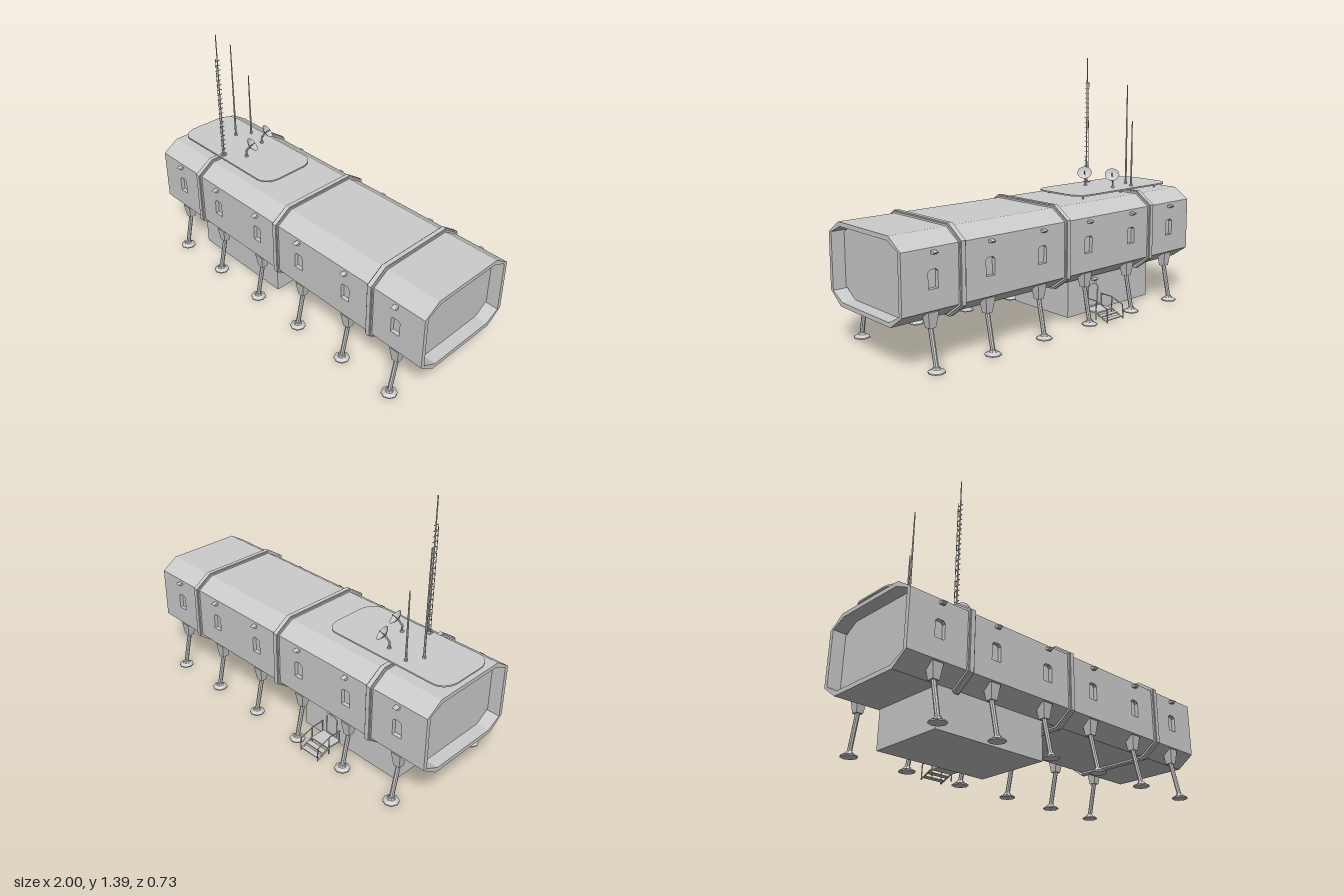
import * as THREE from 'three';

const MAT = new THREE.MeshStandardMaterial({ color: 0xcccccc, flatShading: true });
const THIN = new THREE.MeshStandardMaterial({ color: 0xcccccc, side: THREE.DoubleSide });
const CZ = 0.01; // centre line of the hull
const BAYS = [-0.83, -0.5, -0.165, 0.165, 0.5, 0.83];
const V = (x, y, z) => new THREE.Vector3(x, y, z);

function add(parent, name, geo, x = 0, y = 0, z = 0, mat = MAT) {
  const m = new THREE.Mesh(geo, mat);
  m.name = name;
  m.position.set(x, y, z);
  parent.add(m);
  return m;
}

function group(parent, name, z = 0) {
  const g = new THREE.Group();
  g.name = name;
  g.position.z = z;
  parent.add(g);
  return g;
}

// Straight bar from a to b; four-sided bars get their flats squared to the axes
function rod(parent, name, a, b, ra, rb = ra, sides = 6) {
  const dir = b.clone().sub(a);
  const geo = new THREE.CylinderGeometry(rb, ra, dir.length(), sides);
  if (sides === 4) geo.rotateY(Math.PI / 4);
  const m = add(parent, name, geo);
  m.position.copy(a).add(b).multiplyScalar(0.5);
  m.quaternion.setFromUnitVectors(V(0, 1, 0), dir.normalize());
  return m;
}

function box(parent, name, x0, x1, y0, y1, z0, z1) {
  return add(parent, name, new THREE.BoxGeometry(x1 - x0, y1 - y0, z1 - z0),
    (x0 + x1) / 2, (y0 + y1) / 2, (z0 + z1) / 2);
}

const poly = (pts) => pts.map(([x, y]) => new THREE.Vector2(x, y));

// Eight-sided hull section, grown outwards by d
function octagon(d) {
  const w = 0.305 + d, f = 0.213 + d * 0.6, b = 0.285 - d * 0.5, t = 0.575 + d * 0.5;
  return [[-w, b], [-f, 0.22 - d], [f, 0.22 - d], [w, b], [w, t], [f, 0.635 + d], [-f, 0.635 + d], [-w, t]];
}

// Extrude a (z, y) section along x, centred on x = 0
function alongX(shape, length) {
  const geo = new THREE.ExtrudeGeometry(shape, { depth: length, bevelEnabled: false });
  return geo.translate(0, 0, -length / 2).rotateY(Math.PI / 2);
}

// Opening with clipped top corners
function arch(x, y0, y1, hw, c) {
  return poly([[x - hw, y0], [x + hw, y0], [x + hw, y1 - c], [x + hw - c, y1], [x - hw + c, y1], [x - hw, y1 - c]]);
}

function lampHood(parent, x, y, z) {
  const s = new THREE.Shape(poly([[0.005, 0.008], [-0.03, 0.002], [-0.014, -0.009], [0.005, -0.007]]));
  add(parent, 'lampHood', alongX(s, 0.025), x, y, z);
}

function buildHull(root) {
  const hull = group(root, 'hull', CZ);
  const o = octagon(0), i = octagon(-0.022);
  // roof and belly shells, open at the sides for the window walls
  const roof = [o[4], o[5], o[6], o[7], [-0.283, 0.575], i[6], i[5], [0.283, 0.575]];
  const belly = [o[0], o[1], o[2], o[3], [0.283, 0.285], i[2], i[1], [-0.283, 0.285]];
  add(hull, 'roofShell', alongX(new THREE.Shape(poly(roof)), 2));
  add(hull, 'bellyShell', alongX(new THREE.Shape(poly(belly)), 2));
  // inner body forms the end bulkheads and window panes
  add(hull, 'bulkheads', alongX(new THREE.Shape(poly(octagon(-0.021))), 1.86));
  // stepped bands over the section joints
  for (const x of [-0.657, -0.005, 0.67]) {
    for (const [d, w] of [[0.009, 0.036], [0.015, 0.024]]) {
      const s = new THREE.Shape(poly(octagon(d)));
      s.holes.push(new THREE.Path(poly(octagon(-0.004))));
      add(hull, 'jointBand', alongX(s, w), x);
    }
  }
  // the two long sides, one turned about the vertical axis
  for (const turn of [0, Math.PI]) {
    const side = group(hull, turn ? 'backSide' : 'frontSide');
    side.rotation.y = turn;
    const wall = new THREE.Shape(poly([[-1, 0.285], [1, 0.285], [1, 0.575], [-1, 0.575]]));
    for (const x of BAYS) {
      wall.holes.push(new THREE.Path(arch(x, 0.385, 0.475, 0.027, 0.011)));
      lampHood(side, x, 0.554, 0.305);
      buildLeg(side, x);
    }
    add(side, 'windowWall', new THREE.ExtrudeGeometry(wall, { depth: 0.022, bevelEnabled: false }), 0, 0, 0.283);
  }
}

function buildLeg(parent, x) {
  const leg = group(parent, 'leg');
  rod(leg, 'legSocket', V(x, 0.2, 0.277), V(x, 0.277, 0.275), 0.025, 0.041, 4);
  rod(leg, 'legStrut', V(x, 0.015, 0.318), V(x, 0.21, 0.275), 0.012, 0.012, 8);
  add(leg, 'footCollar', new THREE.CylinderGeometry(0.016, 0.022, 0.012, 8), x, 0.02, 0.318);
  add(leg, 'footPad', new THREE.CylinderGeometry(0.024, 0.04, 0.01, 8), x, 0.011, 0.318);
  add(leg, 'footSole', new THREE.CylinderGeometry(0.042, 0.042, 0.006, 8), x, 0.003, 0.318);
}

function buildDish(parent, x, z) {
  const dish = group(parent, 'dishAntenna');
  const n = V(0.57, 0.65, -0.5).normalize();
  const centre = V(x + 0.02, 0.73, z - 0.012);
  add(dish, 'dishBase', new THREE.CylinderGeometry(0.008, 0.011, 0.01, 8), x, 0.667, z);
  rod(dish, 'dishPost', V(x, 0.66, z), V(x, 0.7, z), 0.005);
  rod(dish, 'dishArm', V(x, 0.698, z), centre, 0.006);
  const bowl = group(dish, 'bowl');
  bowl.position.copy(centre);
  bowl.quaternion.setFromUnitVectors(V(0, 1, 0), n);
  const profile = [0, 0.01, 0.02, 0.03, 0.041].map((r) => new THREE.Vector2(r, r * r * 11));
  add(bowl, 'reflector', new THREE.LatheGeometry(profile, 20), 0, 0, 0, THIN);
  rod(bowl, 'feed', V(0, 0, 0), V(0, 0.034, 0), 0.0025);
  add(bowl, 'feedHead', new THREE.SphereGeometry(0.004, 8, 6), 0, 0.034, 0);
}

function buildRoof(root) {
  const roof = group(root, 'roofEquipment');
  // deck plate with long rounded corners
  const w = 0.3825, h = 0.176, rx = 0.075, rz = 0.095, k = 0.45;
  const s = new THREE.Shape();
  s.moveTo(w, -h + rz).lineTo(w, h - rz);
  s.bezierCurveTo(w, h - rz * k, w - rx * k, h, w - rx, h).lineTo(-w + rx, h);
  s.bezierCurveTo(-w + rx * k, h, -w, h - rz * k, -w, h - rz).lineTo(-w, -h + rz);
  s.bezierCurveTo(-w, -h + rz * k, -w + rx * k, -h, -w + rx, -h).lineTo(w - rx, -h);
  s.bezierCurveTo(w - rx * k, -h, w, -h + rz * k, w, -h + rz);
  const plate = new THREE.ExtrudeGeometry(s, { depth: 0.008, bevelEnabled: false, curveSegments: 8 }).rotateX(-Math.PI / 2);
  add(roof, 'deckPlate', plate, -0.6075, 0.654, 0.011);
  for (const x of [-0.905, -0.6075, -0.3])
    for (const z of [-0.12, 0.14]) rod(roof, 'deckPost', V(x, 0.63, z), V(x, 0.656, z), 0.006);

  // tapered whip aerials
  for (const [x, z, top] of [[-0.755, -0.03, 1.235], [-0.71, -0.11, 1.035]]) {
    rod(roof, 'whipAerial', V(x, 0.66, z), V(x, top, z), 0.006, 0.003);
    rod(roof, 'aerialBase', V(x, 0.66, z), V(x, 0.675, z), 0.009, 0.007, 8);
  }
  // mast with cross rungs and a side rail
  const mast = group(roof, 'ladderMast');
  const mx = -0.621, mz = 0.163;
  rod(mast, 'mastPole', V(mx, 0.66, mz), V(mx, 1.39, mz), 0.004, 0.003);
  rod(mast, 'sideRail', V(mx - 0.015, 0.66, mz), V(mx - 0.015, 1.25, mz), 0.0018);
  box(mast, 'mastFoot', mx - 0.02, mx + 0.009, 0.66, 0.667, mz - 0.014, mz + 0.014);
  for (let i = 0; i < 21; i++) {
    const y = 0.672 + i * 0.0285;
    box(mast, 'rung', mx - 0.002, mx + 0.002, y, y + 0.003, mz - 0.015, mz + 0.015);
    if (i % 4 === 3) box(mast, 'railTie', mx - 0.016, mx, y, y + 0.003, mz - 0.001, mz + 0.001);
  }
  buildDish(roof, -0.582, -0.083);
  buildDish(roof, -0.525, 0.077);
}

function buildEntrance(root) {
  const entry = group(root, 'lowerEntrance');
  box(entry, 'lowerModule', -0.76, -0.115, 0.02, 0.23, -0.195, 0.225);
  // door with a raised frame
  const frame = new THREE.Shape(arch(-0.31, 0.045, 0.172, 0.04, 0.014));
  frame.holes.push(new THREE.Path(arch(-0.31, 0.05, 0.166, 0.034, 0.012)));
  add(entry, 'doorFrame', new THREE.ExtrudeGeometry(frame, { depth: 0.006, bevelEnabled: false }), 0, 0, -0.199);
  const lamp = group(entry, 'doorLamp', -0.195);
  lamp.rotation.y = Math.PI;
  lampHood(lamp, 0.31, 0.2, 0);

  // landing and steps
  const x0 = -0.372, x1 = -0.248;
  box(entry, 'landing', x0, x1, 0.034, 0.042, -0.285, -0.195);
  box(entry, 'step', x0, x1, 0.023, 0.028, -0.322, -0.292);
  box(entry, 'step', x0, x1, 0.009, 0.014, -0.355, -0.325);
  for (const x of [x0, x1]) {
    const p = [[0.105, -0.197], [0.105, -0.275], [0.077, -0.357], [0, -0.36]].map(([y, z]) => V(x, y, z));
    for (let i = 0; i < 3; i++) rod(entry, 'handrail', p[i], p[i + 1], 0.003);
    rod(entry, 'railPost', V(x, 0, -0.278), V(x, 0.105, -0.278), 0.003);
    rod(entry, 'railPost', V(x, 0.036, -0.203), V(x, 0.105, -0.203), 0.003);
    rod(entry, 'stringer', V(x, 0.038, -0.28), V(x, 0.004, -0.36), 0.004);
  }
}

export function createModel() {
  const root = new THREE.Group();
  root.name = 'habitatStation';
  buildHull(root);
  buildRoof(root);
  buildEntrance(root);
  return root;
}
